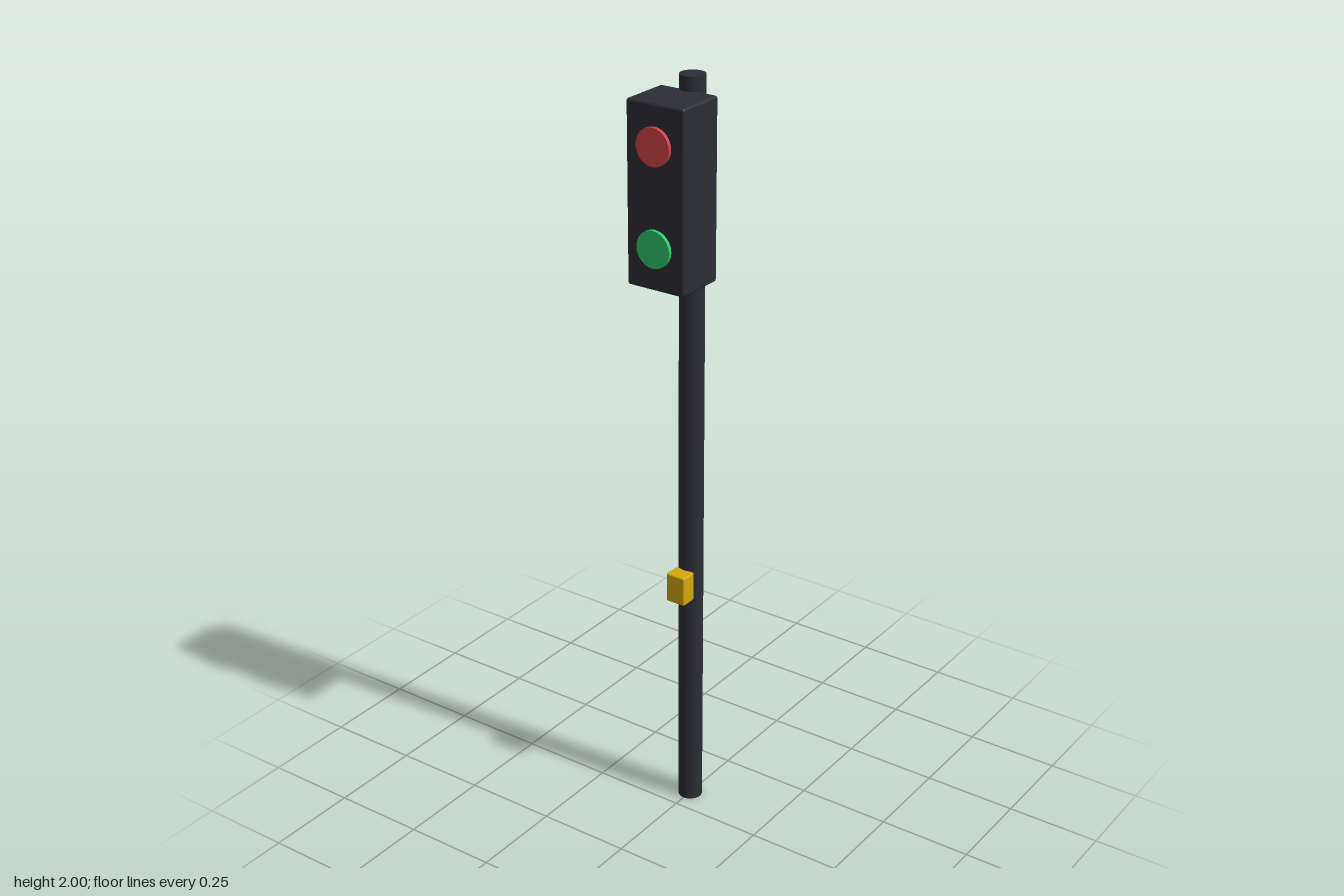
import * as THREE from 'three';
import { RoundedBoxGeometry } from 'three/addons/geometries/RoundedBoxGeometry.js';

const material = (name, color) => {
  const m = new THREE.MeshStandardMaterial({ color });
  m.name = name;
  return m;
};

export function createModel() {
  const group = new THREE.Group();
  group.name = 'pedestrianSignal';

  const dark = material('charcoal', 0x2d2e36);
  const red = material('signalRed', 0xd64545);
  const green = material('signalGreen', 0x2ecc71);
  const yellow = material('buttonYellow', 0xd4a80f);

  const add = (name, geometry, mat, x, y, z) => {
    const mesh = new THREE.Mesh(geometry, mat);
    mesh.name = name;
    mesh.position.set(x, y, z);
    group.add(mesh);
    return mesh;
  };

  // Upright pole
  add('pole', new THREE.CylinderGeometry(0.032, 0.032, 2, 32), dark, 0, 1, -0.066);

  // Signal housing, mounted on the front of the pole
  add('housing', new RoundedBoxGeometry(0.163, 0.455, 0.139, 3, 0.007), dark, 0, 1.737, 0.0165);

  // Round lenses, standing slightly proud of the housing
  const lens = new THREE.CylinderGeometry(0.047, 0.047, 0.02, 24).rotateX(Math.PI / 2);
  add('redLens', lens, red, 0, 1.864, 0.0855);
  add('greenLens', lens, green, 0, 1.616, 0.0855);

  // Push-button box at hand height
  add('buttonBox', new RoundedBoxGeometry(0.056, 0.081, 0.046, 2, 0.005), yellow, 0, 0.664, -0.0175);

  return group;
}
